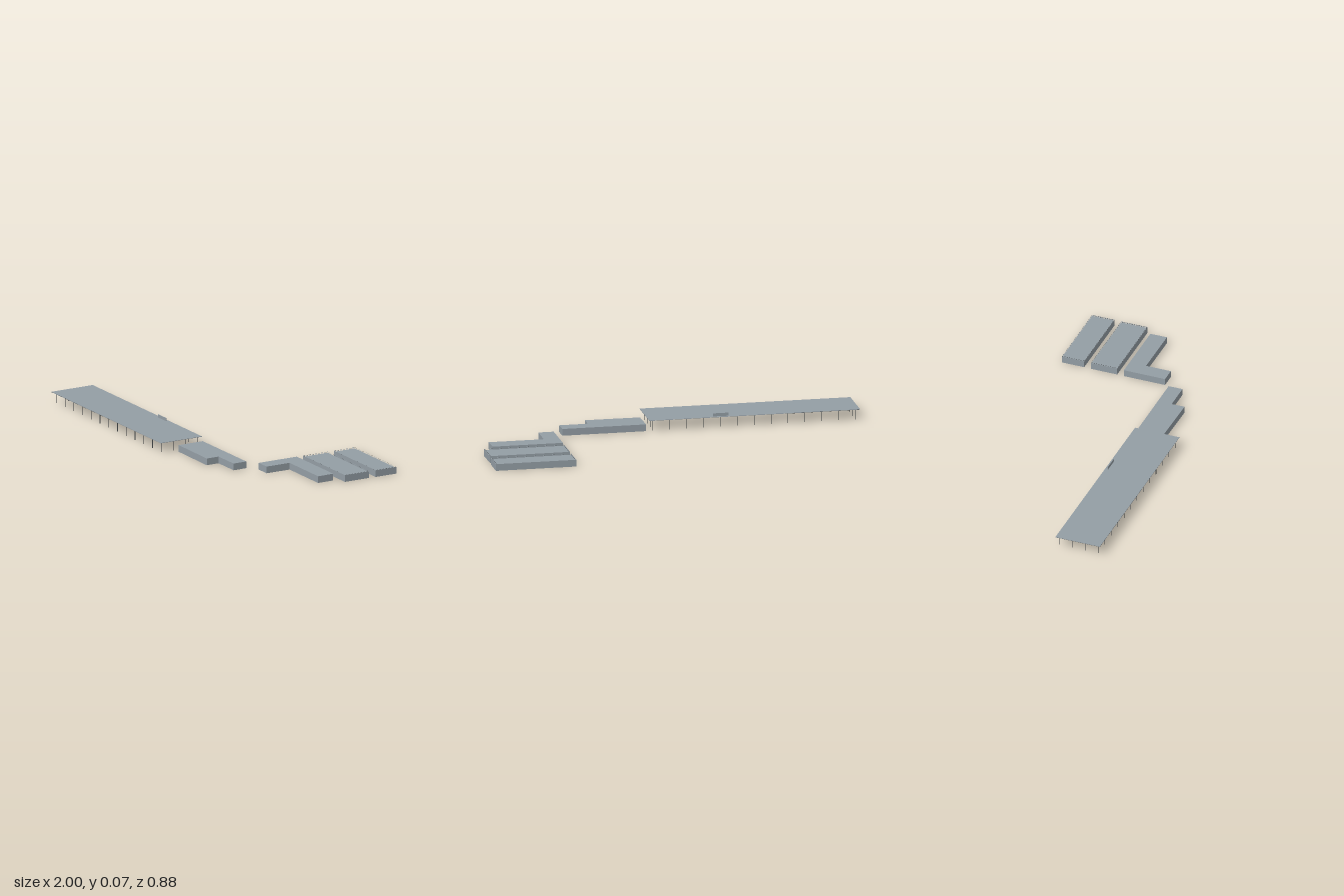
import * as THREE from 'three';

const grey = new THREE.MeshStandardMaterial({ color: 0x949ea5 });
grey.name = 'concrete grey';
const dark = new THREE.MeshStandardMaterial({ color: 0x45494a });
dark.name = 'dark steel';

// Upright prism over a plan outline of [x, z] points, with an optional hole
function prism(name, material, plan, y0, y1, hole) {
  const toV = ([x, z]) => new THREE.Vector2(x, -z);
  const shape = new THREE.Shape(plan.map(toV));
  if (hole) shape.holes.push(new THREE.Path(hole.map(toV)));
  const geo = new THREE.ExtrudeGeometry(shape, { depth: y1 - y0, bevelEnabled: false });
  geo.rotateX(-Math.PI / 2).translate(0, y0, 0);
  const mesh = new THREE.Mesh(geo, material);
  mesh.name = name;
  return mesh;
}

// Flat-roofed block with a low parapet, lined in dark, around a sunken roof
function parapetBlock(name, plan) {
  const block = new THREE.Group();
  block.name = name;
  const cx = plan.reduce((s, p) => s + p[0], 0) / plan.length;
  const cz = plan.reduce((s, p) => s + p[1], 0) / plan.length;
  const shrink = (k) => plan.map(([x, z]) => [cx + (x - cx) * k, cz + (z - cz) * k]);
  block.add(
    prism('walls', grey, plan, 0, 0.028),
    prism('parapet', grey, plan, 0.028, 0.033, shrink(0.985)),
    prism('parapetLining', dark, shrink(0.985), 0.028, 0.0328, shrink(0.975)),
  );
  return block;
}

// Long canopy in its own frame: x along its length, z across its width
function makeCanopy() {
  const canopy = new THREE.Group();
  canopy.name = 'canopy';
  const L = 1.02, W = 0.226, inset = 0.02, top = 0.052;
  const box = (name, material, w, h, d, x, y, z) => {
    const mesh = new THREE.Mesh(new THREE.BoxGeometry(w, h, d), material);
    mesh.name = name;
    mesh.position.set(x, y, z);
    canopy.add(mesh);
  };
  box('canopyRoof', grey, L, 0.002, W, 0, top - 0.001, 0);

  // Dark lining under the far end of the roof
  canopy.add(prism('soffit', dark,
    [[-L / 2, -W / 2], [-0.175, -W / 2], [0.03, W / 2], [-L / 2, W / 2]], top - 0.0026, top - 0.002));

  // Edge beams and posts
  const hx = L / 2 - inset, hz = W / 2 - 0.014, bays = 12, postH = top - 0.002;
  for (const s of [-1, 1]) {
    box('longBeam', dark, hx * 2, 0.003, 0.002, 0, top - 0.0035, s * hz);
    box('endBeam', dark, 0.002, 0.003, hz * 2, s * hx, top - 0.0035, 0);
    for (let i = 0; i <= bays; i++)
      box('post', dark, 0.002, postH, 0.002, -hx + (2 * hx * i) / bays, postH / 2, s * hz);
    for (const t of [-1, 1])
      box('endPost', dark, 0.002, postH, 0.002, s * hx, postH / 2, (t * hz) / 3);
  }
  // Upright panel near the back edge
  box('roofPanel', grey, 0.075, 0.015, 0.003, 0.161, top + 0.0075, -W / 2 + 0.014);

  canopy.position.set(-0.515, 0, -0.065);
  canopy.rotation.y = -Math.atan2(0.565, 0.85);
  return canopy;
}

export function createModel() {
  const model = new THREE.Group();
  model.name = 'buildingComplex';
  model.add(makeCanopy());

  // Stepped block beside the canopy
  model.add(prism('steppedBlock', grey, [[-0.018, 0.136], [0.32, 0.359], [0.282, 0.418],
    [0.165, 0.341], [0.13, 0.396], [-0.09, 0.247]], 0, 0.033));
  // L-shaped block
  model.add(prism('cornerBlock', grey, [[0.499, 0.18], [0.782, 0.368], [0.737, 0.439],
    [0.515, 0.291], [0.445, 0.396], [0.383, 0.355]], 0, 0.033));
  // Two parallel rectangular blocks
  model.add(parapetBlock('middleBlock', [[0.593, 0.04], [0.916, 0.255], [0.843, 0.367], [0.519, 0.152]]));
  model.add(parapetBlock('backBlock', [[0.676, -0.083], [1, 0.132], [0.937, 0.227], [0.613, 0.012]]));
  return model;
}
